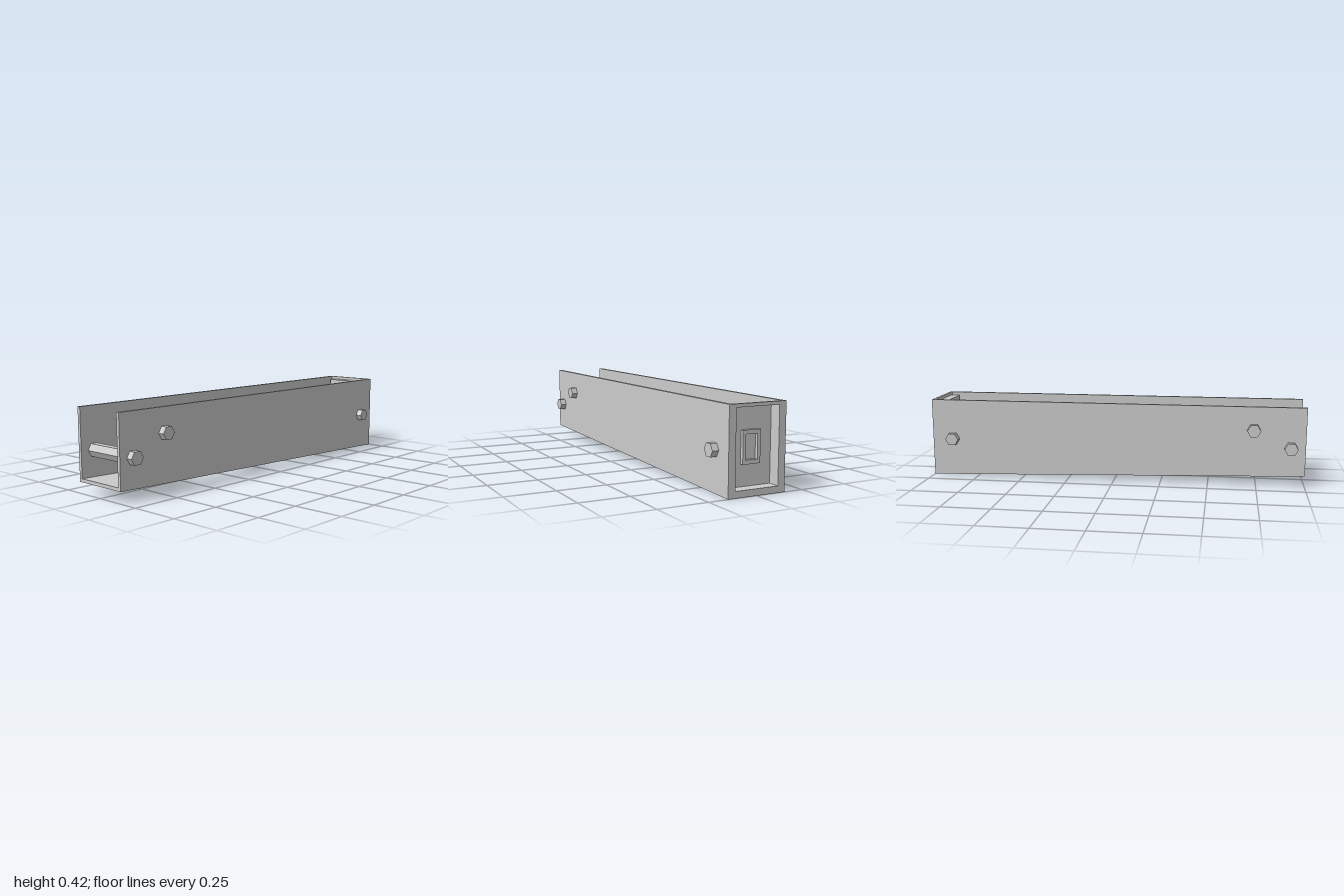
import * as THREE from 'three';

const mat = new THREE.MeshStandardMaterial({ color: 0xcccccc, flatShading: true, side: THREE.DoubleSide });

// Rectangle given as half width and lower / upper edge
function rectPoints([hw, y0, y1]) {
  return [[-hw, y0], [hw, y0], [hw, y1], [-hw, y1]].map(([x, y]) => new THREE.Vector2(x, y));
}
function rectShape(outer, holes = []) {
  const shape = new THREE.Shape(rectPoints(outer));
  holes.forEach((h) => shape.holes.push(new THREE.Path(rectPoints(h).reverse())));
  return shape;
}
const slab = (shape, depth) => new THREE.ExtrudeGeometry(shape, { depth, bevelEnabled: false });
const sheet = (outer, holes, z) => new THREE.ShapeGeometry(rectShape(outer, holes)).translate(0, 0, z);

// Open four-sided sleeve running along z
function sleeve([hw, y0, y1], z0, z1) {
  return new THREE.CylinderGeometry(Math.SQRT1_2, Math.SQRT1_2, 1, 4, 1, true, Math.PI / 4)
    .rotateX(Math.PI / 2)
    .scale(2 * hw, y1 - y0, z1 - z0)
    .translate(0, (y0 + y1) / 2, (z0 + z1) / 2);
}

export function createModel() {
  const model = new THREE.Group();
  const add = (name, geometry, parent = model) => {
    const mesh = new THREE.Mesh(geometry, mat);
    mesh.name = name;
    parent.add(mesh);
    return mesh;
  };
  const W = 0.151, T = 0.017, H = 0.416, rise = 0.056;
  const inner = W - T;

  // Side walls, tapering towards the front
  const side = new THREE.Shape([[-1, 0], [1, rise], [1, H], [-1, H]].map(([z, y]) => new THREE.Vector2(z, y)));
  for (const [name, x] of [['leftWall', W], ['rightWall', -inner]]) {
    add(name, slab(side, T).rotateY(-Math.PI / 2).translate(x, 0, 0));
  }

  // Sloping floor with two rectangular openings
  const floor = slab(rectShape([inner, -0.985, 1], [[0.092, -0.515, -0.075], [0.074, 0.035, 0.587]]), T)
    .rotateX(Math.PI / 2).translate(0, T, 0);
  const pos = floor.attributes.position;
  for (let i = 0; i < pos.count; i++) {
    pos.setY(i, pos.getY(i) + (rise * (pos.getZ(i) + 1)) / 2);
  }
  floor.computeVertexNormals();
  add('floor', floor);

  // Back wall with a recessed panel
  const recess = [0.114, 0.032, 0.4], frame = [0.047, 0.135, 0.29], socket = [0.031, 0.155, 0.271];
  const panelZ = -0.938, frameZ = -0.955;
  add('backWall', slab(rectShape([inner, 0, H], [recess]), 0.015).translate(0, 0, -1));
  const panel = new THREE.Group();
  panel.name = 'recessedPanel';
  model.add(panel);
  add('recessSides', sleeve(recess, -0.985, panelZ), panel);
  add('recessFace', sheet(recess, [frame], panelZ), panel);

  // Raised frame around a small socket
  add('frameSides', sleeve(frame, frameZ, panelZ), panel);
  add('frameFace', sheet(frame, [socket], frameZ), panel);
  add('socketSides', sleeve(socket, frameZ, panelZ), panel);
  add('socketFace', sheet(socket, [], panelZ), panel);

  // Hexagonal cross rods
  const rod = new THREE.CylinderGeometry(0.0355, 0.0355, 0.368, 6).rotateZ(Math.PI / 2);
  for (const [name, y, z] of [['frontRod', 0.203, 0.925], ['upperRod', 0.294, 0.733], ['backRod', 0.203, -0.886]]) {
    add(name, rod).position.set(0, y, z);
  }
  return model;
}
